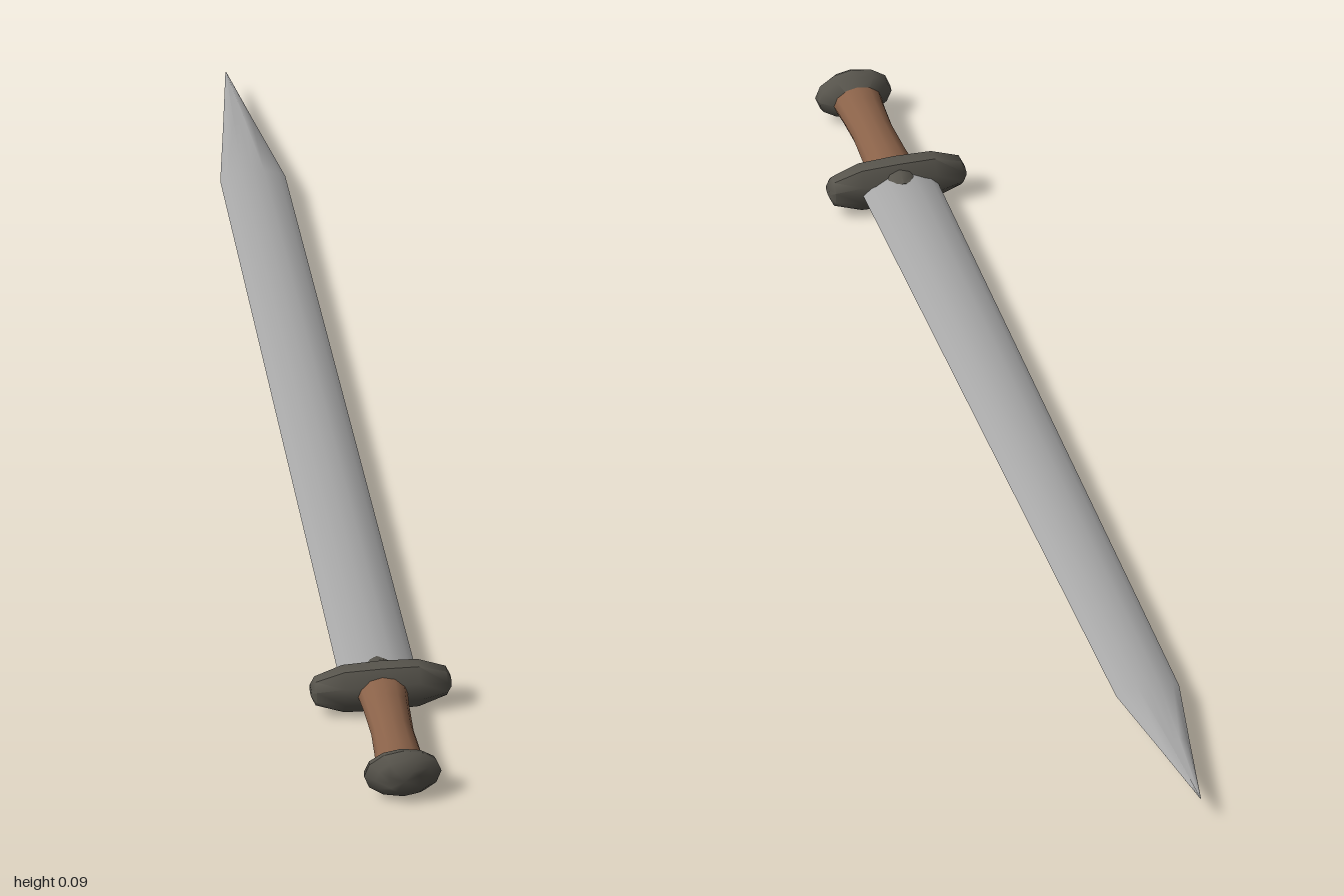
import * as THREE from 'three';
import { toCreasedNormals } from 'three/addons/utils/BufferGeometryUtils.js';

const CENTER_Y = 0.044;

// Unit cross-sections, counter-clockwise
const round = (n, offset = 0) => Array.from({ length: n }, (_, i) => {
  const a = ((i + offset) / n) * Math.PI * 2;
  return [Math.cos(a), Math.sin(a)];
});
const lens = [
  [1, 0], [0.8, 0.5], [0.35, 0.93], [0, 1], [-0.35, 0.93], [-0.8, 0.5],
  [-1, 0], [-0.8, -0.5], [-0.35, -0.93], [0, -1], [0.35, -0.93], [0.8, -0.5],
];

// Skin a profile through stations [z, halfWidth, halfHeight], z increasing
function loft(profile, stations, crease) {
  const n = profile.length;
  const pos = [];
  const idx = [];
  for (const [z, w, h] of stations) {
    for (const [x, y] of profile) pos.push(x * w, y * h, z);
  }
  for (let s = 0; s < stations.length - 1; s++) {
    for (let i = 0; i < n; i++) {
      const a = s * n + i;
      const b = s * n + ((i + 1) % n);
      idx.push(a, b, b + n, a, b + n, a + n);
    }
  }
  // End caps
  const last = (stations.length - 1) * n;
  const c = stations.length * n;
  pos.push(0, 0, stations[0][0], 0, 0, stations[stations.length - 1][0]);
  for (let i = 0; i < n; i++) {
    const j = (i + 1) % n;
    idx.push(c, j, i, c + 1, last + i, last + j);
  }
  const g = new THREE.BufferGeometry();
  g.setAttribute('position', new THREE.Float32BufferAttribute(pos, 3));
  g.setIndex(idx);
  return toCreasedNormals(g, crease);
}

export function createModel() {
  const steel = new THREE.MeshStandardMaterial({ color: 0xa6a6a6 });
  steel.name = 'steel';
  const iron = new THREE.MeshStandardMaterial({ color: 0x58554d });
  iron.name = 'dark iron';
  const leather = new THREE.MeshStandardMaterial({ color: 0x8a6249 });
  leather.name = 'brown leather';

  const group = new THREE.Group();
  group.name = 'sword';
  const add = (name, geometry, material) => {
    const mesh = new THREE.Mesh(geometry, material);
    mesh.name = name;
    mesh.position.y = CENTER_Y;
    group.add(mesh);
    return mesh;
  };

  // Blade: gentle taper, then a straight-sided point
  add('blade', loft(lens, [
    [-1, 0.0008, 0.0008], [-0.85, 0.026, 0.011], [-0.7, 0.052, 0.015], [0.72, 0.062, 0.025],
  ], 0.6), steel);

  // Crossguard: octagonal bar tapering toward both ends
  const guard = add('crossguard', loft(round(8, 0.5), [
    [-0.112, 0.014, 0.008], [-0.105, 0.022, 0.024], [-0.06, 0.029, 0.041], [0, 0.031, 0.043],
    [0.06, 0.029, 0.041], [0.105, 0.022, 0.024], [0.112, 0.014, 0.008],
  ], 0.9), iron);
  guard.rotation.y = Math.PI / 2;
  guard.position.z = 0.728;

  // Collar where the blade enters the guard
  add('collar', loft(round(12), [[0.683, 0.018, 0.026], [0.70, 0.032, 0.032], [0.73, 0.034, 0.034]], 0.9), iron);

  // Waisted grip
  add('grip', loft(round(12), [
    [0.74, 0.041, 0.029], [0.79, 0.037, 0.027], [0.86, 0.034, 0.026], [0.92, 0.037, 0.027], [0.965, 0.041, 0.029],
  ], 0.9), leather);

  // Flared pommel with a domed end
  add('pommel', loft(round(12), [
    [0.945, 0.038, 0.026], [0.962, 0.06, 0.038], [0.976, 0.062, 0.043], [0.99, 0.046, 0.034], [1, 0.026, 0.02],
  ], 0.9), iron);

  return group;
}
